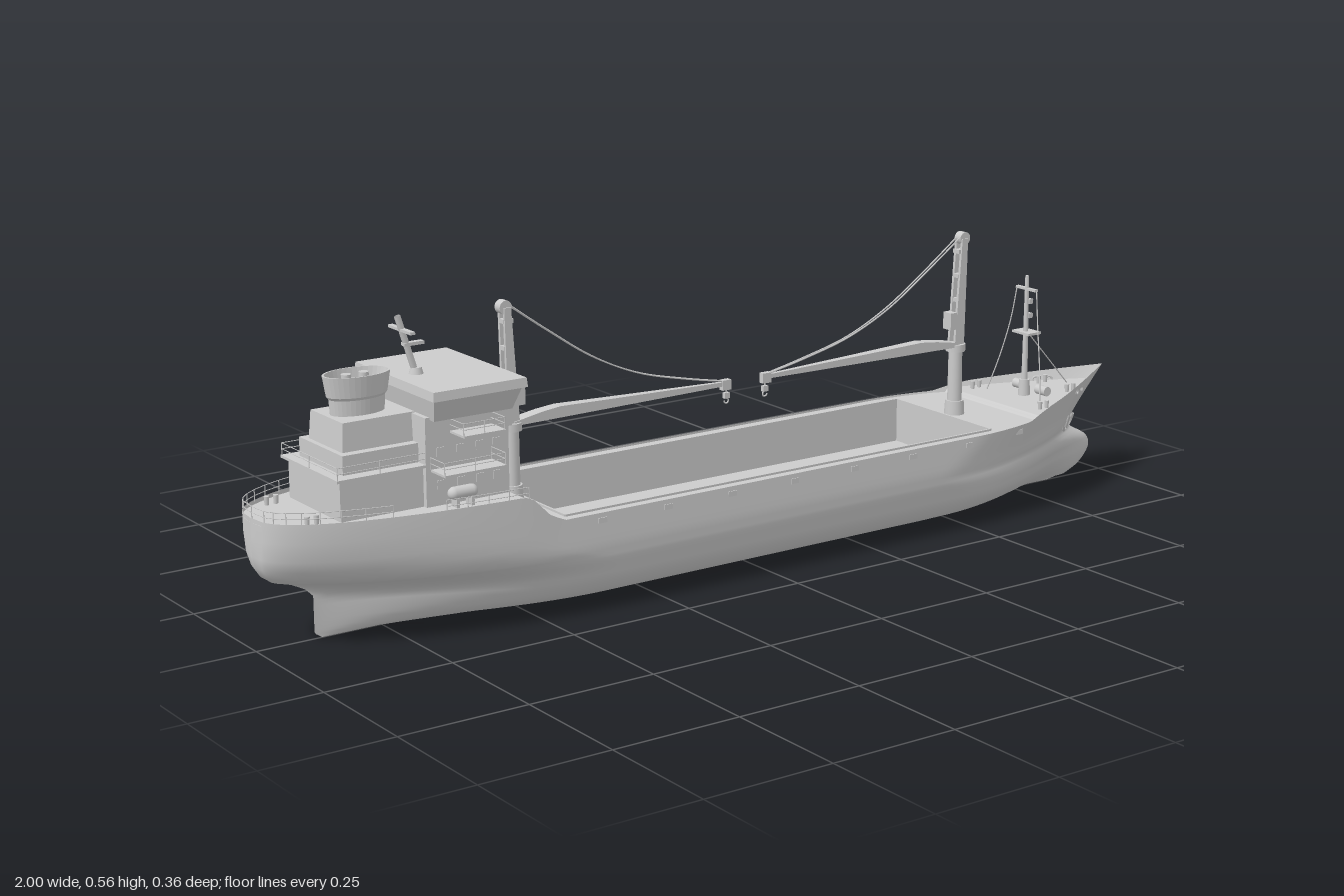
import * as THREE from 'three';

const mat = new THREE.MeshStandardMaterial({ color: 0xcccccc, side: THREE.DoubleSide });
const V = (x, y, z) => new THREE.Vector3(x, y, z);

// Piecewise-linear lookup through [input, output] pairs
const table = (...p) => (x) => {
  if (x <= p[0][0]) return p[0][1];
  for (let i = 1; i < p.length; i++) {
    const [a, b] = [p[i - 1], p[i]];
    if (x <= b[0]) return a[1] + (b[1] - a[1]) * (x - a[0]) / (b[0] - a[0]);
  }
  return p[p.length - 1][1];
};

// Hull lines: each is a function of waterline height, sheer and deck of length
const sternX = table([0, -0.87], [0.01, -0.885], [0.08, -0.885], [0.095, -0.9], [0.11, -0.93], [0.12, -0.965], [0.13, -0.99], [0.145, -1], [0.19, -1]);
const bowX = table([0, 0.85], [0.008, 0.9], [0.025, 0.935], [0.045, 0.957], [0.065, 0.967], [0.085, 0.958], [0.1, 0.93], [0.112, 0.907], [0.122, 0.903], [0.14, 0.922], [0.19, 1]);
const beam = table([0, 0], [0.004, 0.07], [0.012, 0.105], [0.025, 0.136], [0.04, 0.153], [0.06, 0.167], [0.1, 0.179], [0.13, 0.181], [0.19, 0.178]);
const sternPow = table([0, 1.7], [0.07, 1.6], [0.1, 1], [0.13, 0.5], [0.16, 0.36], [0.19, 0.35]);
const bowPow = table([0, 1.5], [0.07, 1.4], [0.1, 0.95], [0.125, 0.75], [0.19, 1]);
const sheer = table([-0.55, 0.245], [-0.535, 0.24], [-0.5, 0.205], [-0.47, 0.19], [0.66, 0.19], [0.7, 0.2], [0.74, 0.207], [1, 0.232]);
const deckY = table([-0.537, 0.237], [-0.535, 0.186], [0.69, 0.186], [0.692, 0.194], [1, 0.205]);

function halfWidth(x, y) {
  const [a, b] = [sternX(y), bowX(y)];
  const ease = (d, len, p) => Math.pow(Math.sin(Math.PI / 2 * Math.min(1, Math.max(0, d / len))), p);
  const body = beam(y) * ease(x - a, 0.55, sternPow(y)) * ease(b - x, 0.5, bowPow(y));
  // bulbous bow, blended into the body
  const h = Math.max(0, 1 - ((y - 0.06) / 0.056) ** 2);
  const bulb = x > 0.6 ? 0.025 * Math.sqrt(h) * Math.sqrt(Math.max(0, 1 - ((x - 0.87) / (b - 0.87 || 1)) ** 2)) : 0;
  return Math.hypot(body, x < 0.87 ? bulb * Math.max(0, (x - 0.7) / 0.17) : bulb);
}
const levelAt = (x, y) => 0.12 + (y - 0.12) * 0.07 / (sheer(x) - 0.12);
const edge = (x, y) => halfWidth(x, levelAt(x, y));

// Grid surface from a rule fn(i, j) -> Vector3
function surface(nu, nv, fn) {
  const pos = [], idx = [];
  for (let i = 0; i <= nu; i++) for (let j = 0; j <= nv; j++) pos.push(...fn(i, j).toArray());
  for (let i = 0; i < nu; i++) for (let j = 0; j < nv; j++) {
    const a = i * (nv + 1) + j, b = a + nv + 1;
    idx.push(a, b, a + 1, b, b + 1, a + 1);
  }
  const g = new THREE.BufferGeometry();
  g.setAttribute('position', new THREE.Float32BufferAttribute(pos, 3));
  g.setIndex(idx);
  g.computeVertexNormals();
  return g;
}

export function createModel() {
  const ship = new THREE.Group();
  ship.name = 'cargoShip';
  const add = (name, geo, parent = ship) => {
    const m = new THREE.Mesh(geo, mat);
    m.name = name;
    parent.add(m);
    return m;
  };
  // Box given by its ranges; tx, tz scale the top face
  const box = (name, x0, x1, y0, y1, z0, z1, parent = ship, tx = 1, tz = 1) => {
    const g = new THREE.BoxGeometry(x1 - x0, y1 - y0, z1 - z0);
    const p = g.attributes.position;
    for (let i = 0; i < p.count; i++) if (p.getY(i) > 0) p.setXYZ(i, p.getX(i) * tx, p.getY(i), p.getZ(i) * tz);
    g.computeVertexNormals();
    g.translate((x0 + x1) / 2, (y0 + y1) / 2, (z0 + z1) / 2);
    return add(name, g, parent);
  };
  const tube = (name, pts, r = 0.0012, parent = ship, seg = 1) =>
    add(name, new THREE.TubeGeometry(pts.length > 2 ? new THREE.CatmullRomCurve3(pts) : new THREE.LineCurve3(...pts), seg, r, 6), parent);
  const cyl = (name, x, y0, y1, z, r0, r1 = r0, parent = ship, n = 20) =>
    add(name, new THREE.CylinderGeometry(r1, r0, y1 - y0, n).translate(x, (y0 + y1) / 2, z), parent);
  // Railing along points: posts plus two bars
  const rail = (name, pts, h = 0.022) => {
    const g = new THREE.Group();
    g.name = name;
    ship.add(g);
    pts.forEach((p, i) => {
      tube('post', [p, V(p.x, p.y + h, p.z)], 0.0009, g);
      if (i) for (const k of [0.5, 1]) tube('bar', [pts[i - 1], p].map((q) => V(q.x, q.y + h * k, q.z)), 0.0008, g);
    });
  };

  // Hull shell, lofted over waterlines
  const levels = [0, 0.002, 0.004, 0.008, 0.012, 0.018, 0.025, 0.032, 0.04, 0.05, 0.06, 0.07, 0.08, 0.088, 0.095, 0.102, 0.108, 0.114, 0.12, 0.128, 0.138, 0.15, 0.17, 0.19];
  const n = levels.length - 1, cols = 160;
  add('hull', surface(cols, 2 * n, (i, j) => {
    const lv = levels[Math.abs(j - n)], t = i / cols;
    const s = 0.55 * (1 - Math.cos(Math.PI * t)) / 2 + 0.45 * t;
    const x = THREE.MathUtils.lerp(sternX(lv), bowX(lv), s * s * (3 - 2 * s) * 0.4 + s * 0.6);
    const y = lv > 0.12 ? 0.12 + (lv - 0.12) * (sheer(x) - 0.12) / 0.07 : lv;
    return V(x, y, Math.sign(j - n) * halfWidth(x, lv));
  }));

  // Decks: across the ends, and strips either side of the hold
  const HX0 = -0.45, HX1 = 0.56, HZ = 0.148, FLOOR = 0.1;
  const deck = (name, x0, x1, zIn, zOut, nu = 100) => add(name, surface(nu, 1, (i, j) => {
    const x = x0 + (x1 - x0) * i / nu, e = edge(x, deckY(x)) * 0.998;
    return V(x, deckY(x), j ? zIn(e) : zOut(e));
  }));
  deck('aftDeck', -1, HX0, (e) => -e, (e) => e, 275);
  deck('foreDeck', HX1, 0.985, (e) => -e, (e) => e, 120);
  deck('sideDeckLeft', HX0, HX1, () => HZ, (e) => e);
  deck('sideDeckRight', HX0, HX1, (e) => -e, () => -HZ);

  // Open cargo hold with coaming
  box('holdFloor', HX0, HX1, FLOOR - 0.004, FLOOR, -HZ, HZ);
  for (const s of [-1, 1]) box('holdSide', HX0, HX1, FLOOR, 0.19, s * HZ - 0.002, s * HZ + 0.002);
  for (const x of [HX0, HX1]) box('holdEnd', x - 0.002, x + 0.002, FLOOR, 0.19, -HZ, HZ);

  // Accommodation tower, wheelhouse and aft house
  box('tower', -0.71, -0.54, 0.18, 0.362, -0.105, 0.105);
  box('towerTop', -0.71, -0.533, 0.36, 0.4, -0.106, 0.106);
  box('wheelhouse', -0.7, -0.54, 0.395, 0.437, -0.12, 0.12, ship, 1.12, 1.16);
  box('wheelhouseRoof', -0.712, -0.52, 0.436, 0.453, -0.142, 0.142, ship, 0.985, 0.985);
  for (let i = -2; i <= 2; i++) {
    const w = box('bridgeWindow', -0.001, 0.001, -0.014, 0.014, -0.021, 0.021);
    w.position.set(-0.5345, 0.417, i * 0.046);
    w.rotation.z = -0.22;
  }
  box('aftHouseLower', -0.875, -0.7, 0.23, 0.312, -0.095, 0.095);
  box('aftHouseMiddle', -0.86, -0.7, 0.312, 0.35, -0.08, 0.08);
  box('aftHouseUpper', -0.85, -0.7, 0.35, 0.402, -0.062, 0.062, ship, 0.95, 0.95);
  box('aftPlatform', -0.885, -0.7, 0.31, 0.315, -0.105, 0.105);
  rail('aftPlatformRail', [[-0.7, -0.103], [-0.8, -0.103], [-0.883, -0.103], [-0.883, 0], [-0.883, 0.103], [-0.8, 0.103], [-0.7, 0.103]].map(([x, z]) => V(x, 0.315, z)));

  for (const s of [-1, 1]) {
    // Bridge wings and side galleries
    for (const [y, x0] of [[0.305, -0.7], [0.37, -0.66]]) {
      box('gallery', x0, -0.575, y - 0.004, y, Math.min(s * 0.1, s * 0.155), Math.max(s * 0.1, s * 0.155));
      rail('galleryRail', [V(x0, y, s * 0.105), V(x0, y, s * 0.153), V((x0 - 0.575) / 2, y, s * 0.153), V(-0.576, y, s * 0.153), V(-0.576, y, s * 0.105)]);
    }
    // Side windows and doors
    for (const y of [0.275, 0.335]) for (const x of [-0.68, -0.64, -0.6, -0.565])
      box('porthole', x - 0.008, x + 0.008, y - 0.008, y + 0.008, s * 0.105 - 0.0015, s * 0.105 + 0.0015);
    for (const y of [0.25, 0.295, 0.335]) for (const z of [0.03, 0.075])
      box('frontWindow', -0.541, -0.5385, y - 0.008, y + 0.008, s * z - 0.008, s * z + 0.008);
    // Life raft canisters beside the house
    const raft = add('lifeRaft', new THREE.CapsuleGeometry(0.012, 0.035, 6, 14).rotateZ(Math.PI / 2));
    raft.position.set(-0.65, 0.262, s * 0.128);
    for (const x of [-0.665, -0.635]) box('raftCradle', x - 0.003, x + 0.003, 0.235, 0.256, s * 0.128 - 0.01, s * 0.128 + 0.01);
    // Poop side rails
    rail('poopRail', [-0.54, -0.58, -0.62, -0.66, -0.7].map((x) => V(x, 0.24, s * (edge(x, 0.24) - 0.004))));
    // Freeing ports and fairleads along the hull
    for (let x = -0.39; x < 0.68; x += 0.145) {
      const z = s * edge(x, 0.176);
      box('freeingPort', x - 0.009, x + 0.009, 0.171, 0.181, z - 0.0015, z + 0.0015);
    }
    for (const x of [0.87, 0.895]) {
      const f = add('fairlead', new THREE.TorusGeometry(0.006, 0.002, 6, 14));
      f.position.set(x, 0.203, s * edge(x, 0.203));
      f.rotation.y = s * 0.5;
    }
    // Mooring bollards and windlasses
    for (const x of [-0.93, 0.73, 0.86]) for (const d of [0, 0.018])
      cyl('bollard', x + d, deckY(x), deckY(x) + 0.016, s * (edge(x, deckY(x)) - 0.025), 0.004, 0.005, ship, 10);
    const drum = add('windlass', new THREE.CylinderGeometry(0.01, 0.01, 0.03, 14).rotateX(Math.PI / 2));
    drum.position.set(0.8, deckY(0.8) + 0.012, s * 0.035);
  }
  rail('sternRail', Array.from({ length: 17 }, (_, i) => {
    const a = i / 8 - 1, x = -0.997 + 0.2 * a * a;
    return V(x, 0.243, Math.sign(a) * (edge(x, 0.243) - 0.003));
  }));

  // Funnel: open oval flare with rim
  const funnel = add('funnel', new THREE.LatheGeometry(
    [[0.047, 0], [0.049, 0.03], [0.053, 0.035], [0.059, 0.073], [0.055, 0.073], [0.05, 0.052], [0, 0.052]].map((p) => new THREE.Vector2(...p)), 36).toNonIndexed());
  funnel.geometry.computeVertexNormals();
  funnel.position.set(-0.785, 0.4, 0);
  funnel.scale.set(1.1, 1, 0.65);
  for (const d of [-0.02, 0.015]) cyl('exhaustPipe', -0.785 + d, 0.44, 0.472, 0, 0.009);

  // Raked radar mast on the wheelhouse
  tube('radarMast', [V(-0.665, 0.45, 0), V(-0.7, 0.562, 0)], 0.006);
  box('radarBar', -0.697, -0.687, 0.534, 0.539, -0.04, 0.04);
  box('radarScanner', -0.69, -0.65, 0.506, 0.512, -0.006, 0.006);
  cyl('mastFoot', -0.665, 0.45, 0.465, 0, 0.014, 0.01);

  // Deck crane, built pointing to +x from its post
  const crane = (name, x, turn) => {
    const c = new THREE.Group();
    c.name = name;
    c.position.x = x;
    c.rotation.y = turn;
    ship.add(c);
    cyl('pedestal', 0, 0.185, 0.215, 0, 0.021, 0.019, c);
    cyl('column', 0, 0.21, 0.325, 0, 0.015, 0.014, c);
    cyl('slewRing', 0, 0.318, 0.333, 0, 0.02, 0.02, c);
    for (const s of [-1, 1]) {
      const leg = box('mastLeg', -0.012, 0.012, 0, 0.222, s * 0.009 - 0.003, s * 0.009 + 0.003, c, 0.6, 1);
      leg.position.y = 0.328;
      leg.rotation.z = 0.045;
    }
    for (const y of [0.37, 0.42, 0.47, 0.52]) box('crossTie', -0.012 - (y - 0.33) * 0.03, 0.004, y, y + 0.008, -0.009, 0.009, c);
    box('cab', 0.008, 0.024, 0.365, 0.4, -0.012, 0.012, c);
    const sheave = add('sheave', new THREE.CylinderGeometry(0.013, 0.013, 0.018, 20).rotateX(Math.PI / 2), c);
    sheave.position.set(-0.012, 0.55, 0);
    // Fish-bellied boom, tapering in plan
    const boom = new THREE.Shape([[0, 0.328], [0.48, 0.33], [0.48, 0.338], [0.25, 0.345], [0.1, 0.35], [0.06, 0.346], [0, 0.336]].map((p) => new THREE.Vector2(...p)));
    const g = new THREE.ExtrudeGeometry(boom, { depth: 2, bevelEnabled: false }).translate(0, 0, -1);
    const p = g.attributes.position;
    for (let i = 0; i < p.count; i++) p.setZ(i, p.getZ(i) * (0.014 - 0.021 * p.getX(i)));
    g.computeVertexNormals();
    add('boom', g, c);
    for (const s of [-1, 1]) tube('luffingCable', [V(-0.008, 0.557, s * 0.005), V(0.08, 0.495, s * 0.004), V(0.18, 0.43, s * 0.004), V(0.28, 0.385, s * 0.003), V(0.39, 0.357, s * 0.003), V(0.485, 0.338, s * 0.002)], 0.0016, c, 30);
    box('tipBlock', 0.472, 0.492, 0.322, 0.342, -0.006, 0.006, c);
    tube('hoistRope', [V(0.484, 0.325, 0), V(0.484, 0.31, 0)], 0.0015, c);
    box('hookBlock', 0.478, 0.49, 0.305, 0.316, -0.004, 0.004, c);
    const hook = add('hook', new THREE.TorusGeometry(0.005, 0.0016, 6, 14, Math.PI * 1.5), c);
    hook.position.set(0.484, 0.3, 0);
    hook.rotation.z = Math.PI;
  };
  crane('aftCrane', -0.47, 0);
  crane('foreCrane', 0.59, Math.PI);

  // Foremast with stays
  cyl('foremast', 0.78, 0.19, 0.45, 0, 0.007, 0.004, ship, 12);
  cyl('foremastFoot', 0.78, 0.19, 0.23, 0, 0.013, 0.011);
  box('foremastYard', 0.776, 0.784, 0.42, 0.425, -0.03, 0.03);
  box('foremastPlatform', 0.765, 0.8, 0.328, 0.333, -0.025, 0.025);
  for (const y of [0.36, 0.39]) box('mastLamp', 0.784, 0.794, y, y + 0.01, -0.005, 0.005);
  tube('foreStay', [V(0.785, 0.33, 0), V(0.9, 0.205, 0)]);
  for (const s of [-1, 1]) tube('shroud', [V(0.78, 0.422, s * 0.03), V(0.775, 0.35, s * 0.042), V(0.765, 0.27, s * 0.062), V(0.75, 0.195, s * 0.083)], 0.0013, ship, 12);

  // Anchor on the left bow
  const anchor = new THREE.Group();
  anchor.name = 'anchor';
  anchor.position.set(0.865, 0.133, edge(0.865, 0.133) + 0.003);
  anchor.rotation.set(0.45, 0.5, 0.35);
  ship.add(anchor);
  tube('shank', [V(0, -0.018, 0), V(0, 0.024, 0)], 0.003, anchor);
  tube('flukes', [V(-0.02, 0.01, 0), V(-0.014, -0.012, 0), V(0, -0.02, 0), V(0.014, -0.012, 0), V(0.02, 0.01, 0)], 0.0035, anchor, 16);
  return ship;
}
